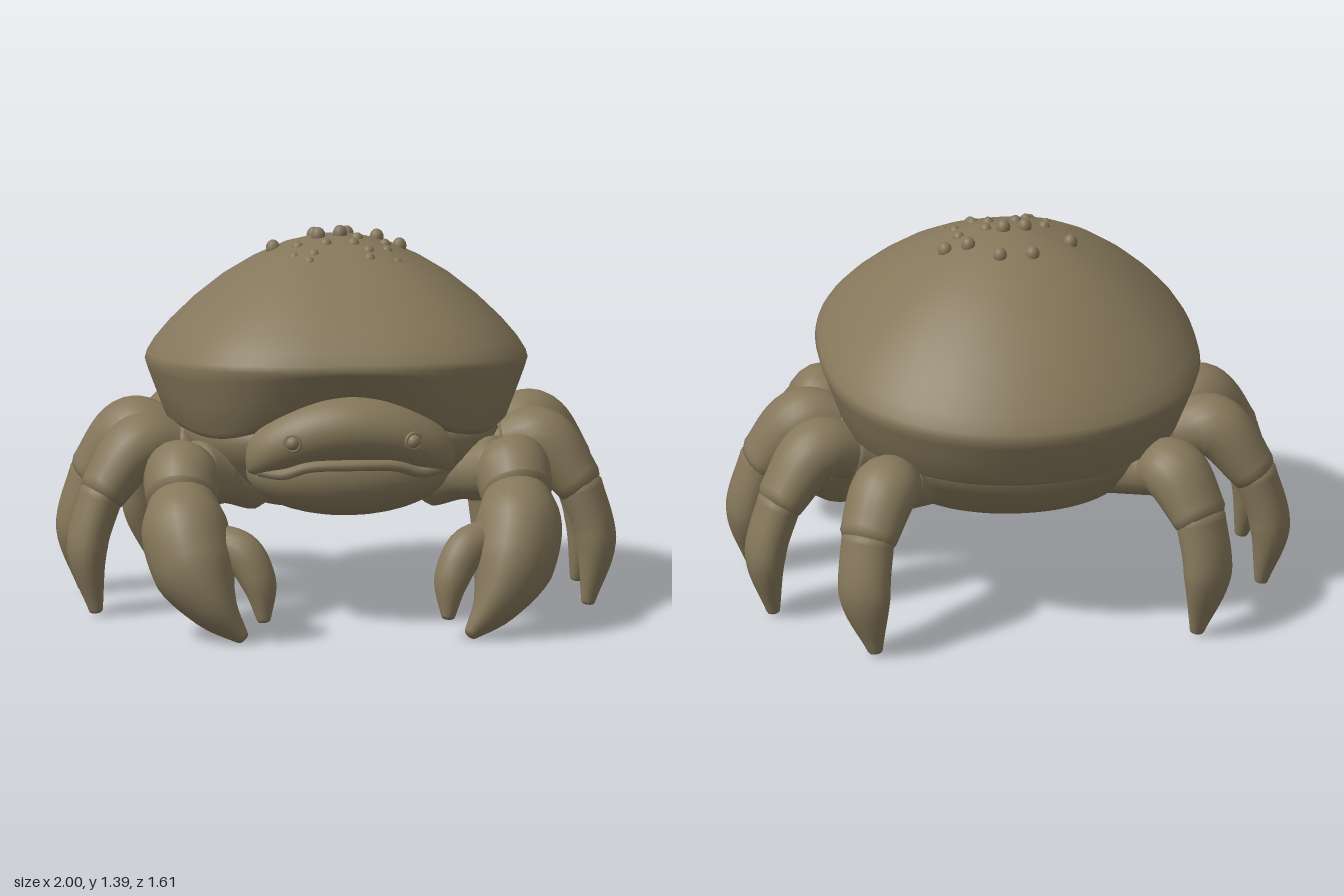
import * as THREE from 'three';

const shellBrown = new THREE.MeshStandardMaterial({ color: 0x85775a });
shellBrown.name = 'shell brown';

// Skin a list of closed rings (each an array of Vector3) with smooth normals
function loft(rings) {
  const n = rings[0].length, pos = [], idx = [];
  rings.forEach(r => r.forEach(p => pos.push(p.x, p.y, p.z)));
  for (let i = 0; i < rings.length - 1; i++) {
    for (let j = 0; j < n; j++) {
      const a = i * n + j, b = i * n + (j + 1) % n;
      idx.push(a, b, a + n, b, b + n, a + n);
    }
  }
  const g = new THREE.BufferGeometry();
  g.setAttribute('position', new THREE.Float32BufferAttribute(pos, 3));
  g.setIndex(idx);
  g.computeVertexNormals();
  return g;
}

// Tapered limb through points [x, y, z, radius along side, other radius], rounded ends
function limb(points, side, m) {
  const curve = new THREE.CatmullRomCurve3(points.map(p => new THREE.Vector3(p[0] * m, p[1], p[2])));
  const radii = new THREE.CatmullRomCurve3(points.map(p => new THREE.Vector3(p[3], p[4] ?? p[3], 0)));
  const ref = new THREE.Vector3(side[0] * m, side[1], side[2]);
  const rings = [], N = 20, M = 20;
  const ring = (t, shift, k) => {
    const c = curve.getPoint(t), T = curve.getTangent(t), r = radii.getPoint(t);
    const U = ref.clone().addScaledVector(T, -ref.dot(T)).normalize();
    const V = new THREE.Vector3().crossVectors(T, U);
    c.addScaledVector(T, shift * Math.min(r.x, r.y));
    rings.push(Array.from({ length: M }, (_, j) => {
      const a = j / M * Math.PI * 2;
      return c.clone().addScaledVector(U, Math.cos(a) * r.x * k).addScaledVector(V, Math.sin(a) * r.y * k);
    }));
  };
  const cap = [[0.45, 0.02], [0.4, 0.5], [0.23, 0.86]];
  cap.forEach(([s, k]) => ring(0, -s, k));
  for (let i = 0; i <= N; i++) ring(i / N, 0, 1);
  cap.reverse().forEach(([s, k]) => ring(1, s, k));
  return loft(rings);
}

// Rounded-square horizontal ring; the front is squarer than the back
function roundedRing(rx, rz, cz, height) {
  const M = 64;
  return Array.from({ length: M }, (_, j) => {
    const a = j / M * Math.PI * 2, s = Math.sin(a), c = Math.cos(a);
    const e = 2 / (2.38 + 0.28 * c);
    const x = rx * Math.sign(s) * Math.abs(s) ** e;
    const z = cz + rz * Math.sign(c) * Math.abs(c) ** e;
    return new THREE.Vector3(x, height(x, z), z);
  });
}

export function createModel() {
  const model = new THREE.Group();
  const add = (name, geometry, parent = model) => {
    const mesh = new THREE.Mesh(geometry, shellBrown);
    mesh.name = name;
    parent.add(mesh);
    return mesh;
  };

  // Domed shell, rim tilted up at the front, its lower edge arched over the face
  const profile = [
    [0.01, -0.27], [0.6, -0.27], [0.85, -0.255], [0.89, -0.23], [0.945, -0.13], [0.985, -0.055],
    [1, -0.02], [0.99, 0.005], [0.95, 0.05], [0.87, 0.115], [0.75, 0.195], [0.6, 0.277],
    [0.45, 0.34], [0.29, 0.392], [0.15, 0.42], [0.06, 0.428], [0.002, 0.43],
  ];
  add('shell', loft(profile.map(([s, h]) => {
    const low = THREE.MathUtils.clamp((-0.02 - h) / 0.2, 0, 1);
    return roundedRing(0.69 * s, 0.695 * s, -0.075 * Math.sqrt(s), (x, z) => {
      const front = THREE.MathUtils.smoothstep(z, 0.1, 0.5);
      const arch = front * low * (0.19 * Math.exp(-((x / 0.33) ** 2)) - 0.05);
      return 0.925 + 0.108 * z * s + h + arch;
    });
  })));

  // Small bumps clustered on the crown, a few standing taller
  const bumps = new THREE.Group();
  bumps.name = 'shellBumps';
  model.add(bumps);
  const spots = [
    [-0.07, -0.2, 1], [0.05, -0.2, 1], [-0.23, -0.07, 1], [0.15, -0.1, 1], [0.23, -0.07, 1], [-0.07, -0.02, 1],
    [0.01, -0.03, 1], [-0.15, 0.04], [-0.05, 0.07], [0.05, 0.07], [-0.17, 0.12], [-0.1, 0.14], [0.1, 0.12],
    [0.17, 0.08], [0.2, 0.15], [-0.12, 0.18], [0.1, 0.17], [0.07, 0], [0.17, 0],
  ];
  for (const [x, z, tall = 0] of spots) {
    const bump = add('bump', new THREE.SphereGeometry(0.023 + 0.003 * tall, 12, 8), bumps);
    bump.scale.y = 1.2;
    bump.position.set(x, 1.346 + 0.014 * tall - 1.05 * (x * x + (z + 0.02) ** 2), z);
  }

  // Belly, swelling out to meet the shell's lower edge
  const belly = [
    [0.01, 0.38], [0.35, 0.383], [0.55, 0.4], [0.7, 0.44], [0.82, 0.5], [0.93, 0.58], [1, 0.66], [0.95, 0.7],
  ];
  add('belly', loft(belly.map(([s, y]) => roundedRing(0.59 * s, 0.59 * s, -0.08, (x, z) => y + 0.03 * z * s))));

  // Face: gently drooping plate with full cheeks over a rounded jaw
  const face = new THREE.SphereGeometry(1, 40, 24);
  const p = face.attributes.position;
  for (let i = 0; i < p.count; i++) {
    const x = p.getX(i), y = p.getY(i), z = p.getZ(i);
    const full = Math.max(1 - x * x, 0.01) ** -0.2;
    p.setXYZ(i, 0.38 * x, 0.745 + 0.128 * y * full - 0.115 * x * x, 0.475 + 0.158 * z);
  }
  face.computeVertexNormals();
  add('face', face);
  const jaw = add('jaw', new THREE.SphereGeometry(1, 32, 20));
  jaw.scale.set(0.37, 0.165, 0.2);
  jaw.position.set(0, 0.57, 0.385);
  const lipPath = new THREE.CatmullRomCurve3([
    [-0.33, 0.59, 0.495], [-0.25, 0.585, 0.54], [-0.16, 0.615, 0.57], [0, 0.622, 0.585],
    [0.16, 0.615, 0.57], [0.25, 0.585, 0.54], [0.33, 0.59, 0.495],
  ].map(v => new THREE.Vector3(...v)));
  add('lip', new THREE.TubeGeometry(lipPath, 32, 0.02, 10));

  for (const m of [1, -1]) {
    const sideName = m > 0 ? 'left' : 'right';

    // Eye with a raised lid ring
    const eye = new THREE.Group();
    eye.name = sideName + 'Eye';
    eye.position.set(0.22 * m, 0.712, 0.604);
    eye.rotation.y = 0.35 * m;
    model.add(eye);
    add('eyeball', new THREE.SphereGeometry(0.026, 16, 12), eye);
    add('eyelid', new THREE.TorusGeometry(0.029, 0.007, 8, 20), eye);

    // Walking legs: base, hip, knee, joint, shin, foot tip and the direction across the leg
    const legs = [
      ['frontLeg', [0.35, 0.53, 0.04], [0.6, 0.59, 0.05], [0.73, 0.61, 0.08], [0.87, 0.45, 0.125], [0.925, 0.25, 0.14], [0.895, 0.022, 0.165], [0, 0, 1]],
      ['middleLeg', [0.35, 0.53, -0.13], [0.6, 0.59, -0.19], [0.73, 0.615, -0.23], [0.87, 0.45, -0.28], [0.925, 0.25, -0.29], [0.895, 0.022, -0.285], [0, 0, 1]],
      ['backLeg', [0.3, 0.52, -0.3], [0.47, 0.58, -0.49], [0.53, 0.59, -0.57], [0.61, 0.45, -0.675], [0.63, 0.25, -0.72], [0.59, 0.022, -0.718], [0.8, 0, 0.6]],
    ];
    for (const [name, base, hip, knee, joint, shin, tip, across] of legs) {
      const leg = new THREE.Group();
      leg.name = sideName + name[0].toUpperCase() + name.slice(1);
      model.add(leg);
      add('hip', limb([[...base, 0.1], [...hip, 0.105]], across, m), leg);
      add('thigh', limb([[...hip, 0.1], [...knee, 0.125, 0.115], [...joint, 0.11, 0.088]], across, m), leg);
      add('foot', limb([[...joint, 0.1, 0.08], [...shin, 0.1, 0.075], [...tip, 0.028, 0.025]], across, m), leg);
    }

    // Pincer arm, palm with long finger, and inner thumb
    const claw = new THREE.Group();
    claw.name = sideName + 'Claw';
    model.add(claw);
    const across = [1, 0, 0];
    add('shoulder', limb([[0.32, 0.5, 0.18, 0.11], [0.46, 0.53, 0.25, 0.11], [0.55, 0.55, 0.31, 0.12]], [-0.5, 0, 0.85], m), claw);
    add('arm', limb([[0.57, 0.57, 0.31, 0.12, 0.11], [0.6, 0.545, 0.37, 0.14, 0.15], [0.61, 0.48, 0.44, 0.13, 0.145]], across, m), claw);
    add('palm', limb([
      [0.61, 0.47, 0.46, 0.125, 0.135], [0.605, 0.37, 0.555, 0.16, 0.185], [0.575, 0.25, 0.63, 0.15, 0.175],
      [0.505, 0.12, 0.695, 0.085, 0.12], [0.415, 0.025, 0.74, 0.026, 0.03],
    ], across, m), claw);
    add('thumb', limb([
      [0.5, 0.35, 0.59, 0.07], [0.41, 0.32, 0.65, 0.075], [0.35, 0.215, 0.69, 0.062, 0.068], [0.335, 0.085, 0.72, 0.025],
    ], [0.8, 0, -0.6], m), claw);
  }
  return model;
}
